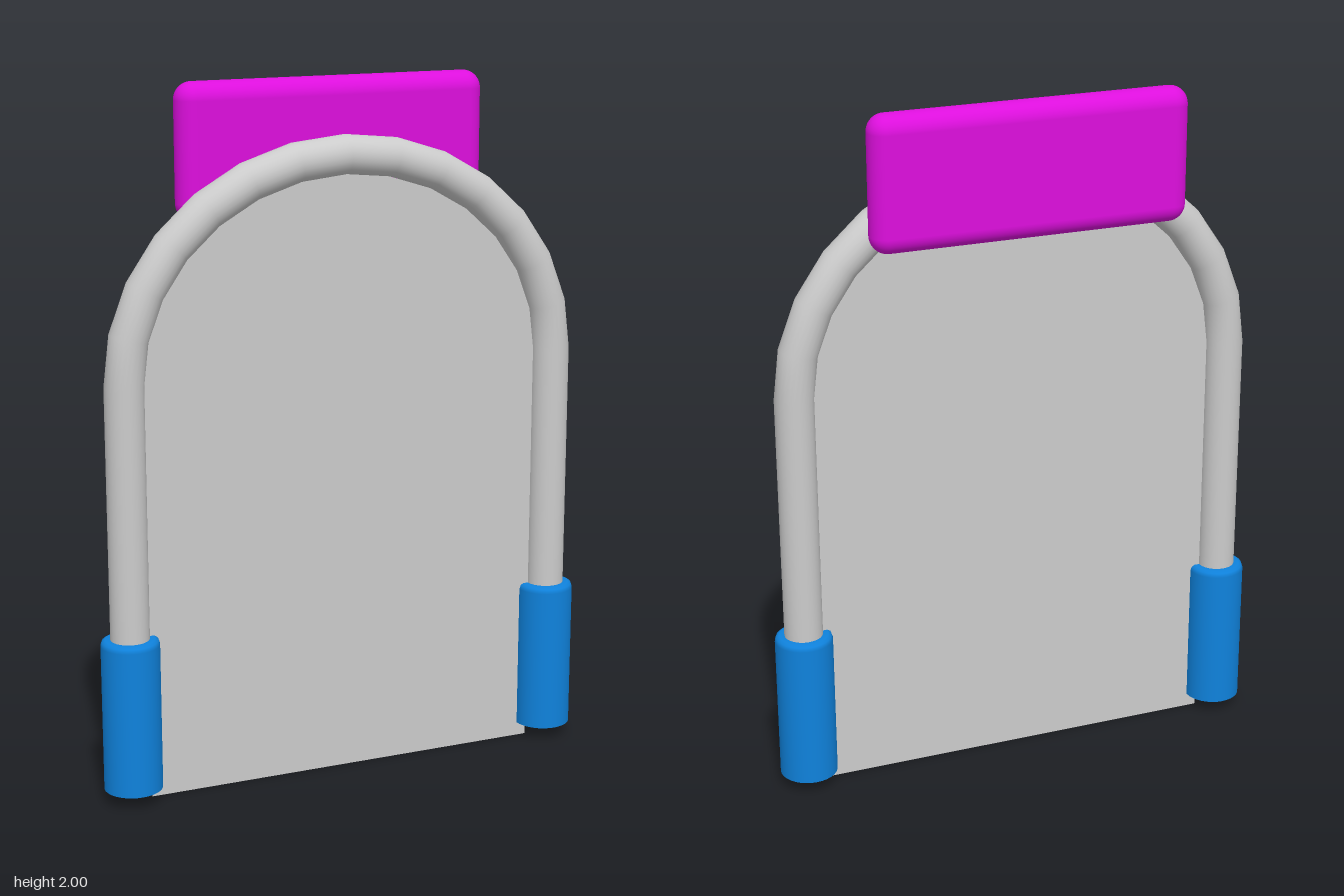
import * as THREE from 'three';
import { RoundedBoxGeometry } from 'three/addons/geometries/RoundedBoxGeometry.js';

const HALF = 0.65, RISE = 0.595, SPRING = 1.2, R = 0.055, Z = 0.035;
const FOOT = 0.42, ARC_STEPS = 14;

// Two straight legs joined by a half ellipse; one step per leg, the rest on the arc
class ArchCurve extends THREE.Curve {
  getPoint(t, target = new THREE.Vector3()) {
    const s = t * (ARC_STEPS + 2);
    if (s <= 1) return target.set(HALF, THREE.MathUtils.lerp(FOOT, SPRING, s), Z);
    if (s >= ARC_STEPS + 1) {
      return target.set(-HALF, THREE.MathUtils.lerp(SPRING, FOOT, s - ARC_STEPS - 1), Z);
    }
    const a = (s - 1) / ARC_STEPS * Math.PI;
    return target.set(HALF * Math.cos(a), SPRING + RISE * Math.sin(a), Z);
  }
  getPointAt(u, target) { return this.getPoint(u, target); }
  getTangentAt(u, target) { return this.getTangent(u, target); }
}

export function createModel() {
  const group = new THREE.Group();
  const grey = new THREE.MeshStandardMaterial({ color: 0xcccccc, side: THREE.DoubleSide });
  const blue = new THREE.MeshStandardMaterial({ color: 0x0f82dc, side: THREE.DoubleSide });
  const magenta = new THREE.MeshStandardMaterial({ color: 0xdd0fdd });

  const add = (name, geometry, material, x = 0, y = 0, z = 0) => {
    const mesh = new THREE.Mesh(geometry, material);
    mesh.name = name;
    mesh.position.set(x, y, z);
    group.add(mesh);
  };

  // Bent tube frame
  add('archFrame', new THREE.TubeGeometry(new ArchCurve(), ARC_STEPS + 2, R, 24), grey);

  // Thin sheet filling the arch
  const w = HALF - R;
  const outline = new THREE.Shape();
  outline.moveTo(-w, 0);
  outline.lineTo(w, 0);
  outline.lineTo(w, SPRING);
  for (let i = 1; i <= ARC_STEPS; i++) {
    const a = i / ARC_STEPS * Math.PI;
    outline.lineTo(w * Math.cos(a), SPRING + (RISE - R) * Math.sin(a));
  }
  outline.closePath();
  add('panel', new THREE.ShapeGeometry(outline), grey, 0, 0, Z);

  // Sleeves over the leg ends, open below, with a softened top rim
  const profile = [[0.083, 0.04], [0.083, 0.465], [0.079, 0.477], [0.07, 0.482], [R - 0.002, 0.482]]
    .map(([r, y]) => new THREE.Vector2(r, y));
  for (const side of [1, -1]) {
    add(side > 0 ? 'leftSleeve' : 'rightSleeve', new THREE.LatheGeometry(profile, 32), blue, side * HALF, 0, Z);
  }

  // Rounded pad behind the top of the arch
  add('pad', new RoundedBoxGeometry(0.912, 0.38, 0.1, 6, 0.0499), magenta, 0, 1.81, -0.07);

  return group;
}
